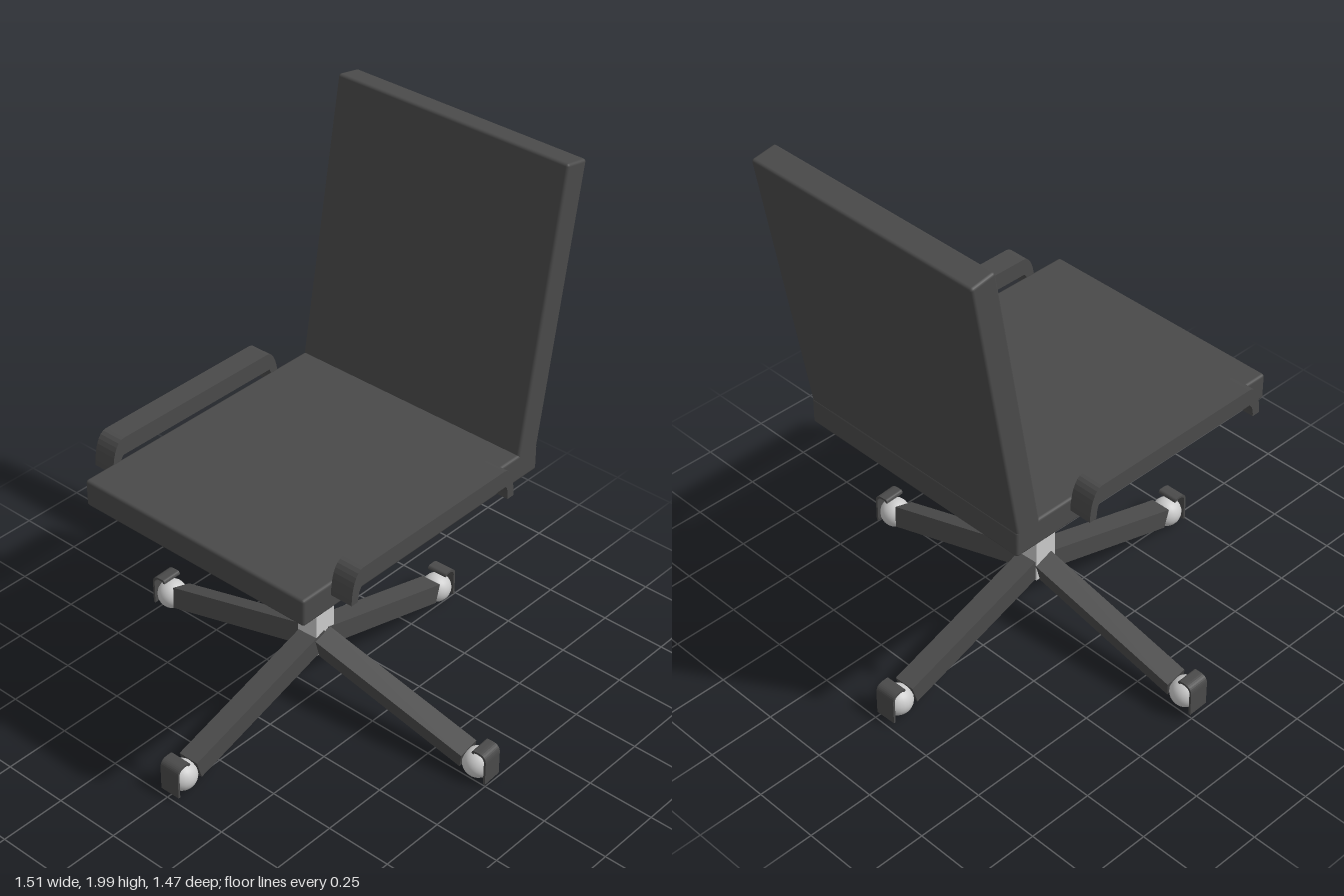
import * as THREE from 'three';
import { RoundedBoxGeometry } from 'three/addons/geometries/RoundedBoxGeometry.js';

const dark = new THREE.MeshStandardMaterial({ color: 0x4a4a4a });
const grey = new THREE.MeshStandardMaterial({ color: 0xcccccc });

function add(parent, name, geometry, material, x = 0, y = 0, z = 0) {
  const mesh = new THREE.Mesh(geometry, material);
  mesh.name = name;
  mesh.position.set(x, y, z);
  parent.add(mesh);
  return mesh;
}

// Extrude a side profile and centre it across its width
function slab(shape, width) {
  const geometry = new THREE.ExtrudeGeometry(shape, { depth: width, bevelEnabled: false, curveSegments: 8 });
  return geometry.translate(0, 0, -width / 2);
}

// Armrest bar whose two ends curve down; shape x runs along the chair's depth
function armrestGeometry() {
  const s = new THREE.Shape();
  s.moveTo(0.445, 0.945);
  s.lineTo(0.475, 0.945);
  s.bezierCurveTo(0.475, 1.0, 0.46, 1.065, 0.42, 1.065);
  s.lineTo(-0.265, 1.065);
  s.bezierCurveTo(-0.3, 1.065, -0.317, 1.0, -0.317, 0.945);
  s.lineTo(-0.287, 0.945);
  s.quadraticCurveTo(-0.287, 0.985, -0.275, 1.0);
  s.lineTo(0.425, 1.0);
  s.quadraticCurveTo(0.445, 0.985, 0.445, 0.945);
  return slab(s, 0.085).rotateY(-Math.PI / 2);
}

// Thin hooked guard that wraps over the outer side of a wheel
function guardGeometry() {
  const s = new THREE.Shape();
  s.moveTo(0.05, -0.045);
  s.lineTo(0.058, -0.045);
  s.lineTo(0.058, 0.045);
  s.quadraticCurveTo(0.058, 0.077, 0.025, 0.077);
  s.lineTo(0.01, 0.077);
  s.quadraticCurveTo(0, 0.077, -0.002, 0.064);
  s.lineTo(0.006, 0.062);
  s.quadraticCurveTo(0.008, 0.069, 0.02, 0.069);
  s.quadraticCurveTo(0.05, 0.069, 0.05, 0.045);
  s.closePath();
  return slab(s, 0.08);
}

export function createModel() {
  const chair = new THREE.Group();
  chair.name = 'swivelChair';

  // Seat and tilted backrest
  add(chair, 'seat', new RoundedBoxGeometry(0.96, 0.1, 1.15, 2, 0.01), dark, 0, 0.94, 0.025);
  const back = add(chair, 'backrest', new RoundedBoxGeometry(0.96, 1.06, 0.097, 2, 0.01), dark, 0, 1.47, -0.583);
  back.rotation.x = -0.171;

  // Armrests
  const armGeometry = armrestGeometry();
  for (const side of [-1, 1]) {
    add(chair, side > 0 ? 'leftArmrest' : 'rightArmrest', armGeometry, dark, side * 0.5225, 0, 0);
  }

  // Column
  const column = add(chair, 'column', new THREE.BoxGeometry(0.082, 0.69, 0.095), grey, -0.008, 0.55, 0.005);
  column.rotation.y = 0.05;

  // Four sloping legs, each with a ball wheel and guard
  const guard = guardGeometry();
  const ball = new THREE.SphereGeometry(0.055, 24, 16);
  const legs = [
    { name: 'front', hub: [-0.005, 0.26, 0], wheel: [0, 0.06, 0.68], roll: 0 },
    { name: 'back', hub: [-0.005, 0.26, 0], wheel: [-0.03, 0.06, -0.675], roll: 0 },
    { name: 'left', hub: [0, 0.255, 0.01], wheel: [0.693, 0.063, -0.03], roll: 0.28 },
    { name: 'right', hub: [-0.01, 0.255, 0.005], wheel: [-0.698, 0.083, 0.022], roll: 0.28 },
  ];
  for (const { name, hub, wheel, roll } of legs) {
    const start = new THREE.Vector3(...hub);
    const end = new THREE.Vector3(...wheel);
    const run = end.clone().sub(start);
    const length = run.length() - 0.045;
    const leg = add(chair, name + 'Leg', new THREE.BoxGeometry(0.08, 0.075, length).translate(0, 0, length / 2), dark, ...hub);
    leg.lookAt(end);
    leg.rotateZ(roll);

    const caster = new THREE.Group();
    caster.name = name + 'Caster';
    caster.position.copy(end);
    caster.rotation.y = Math.atan2(-run.z, run.x);
    add(caster, 'wheel', ball, grey);
    add(caster, 'wheelGuard', guard, dark);
    chair.add(caster);
  }

  return chair;
}
